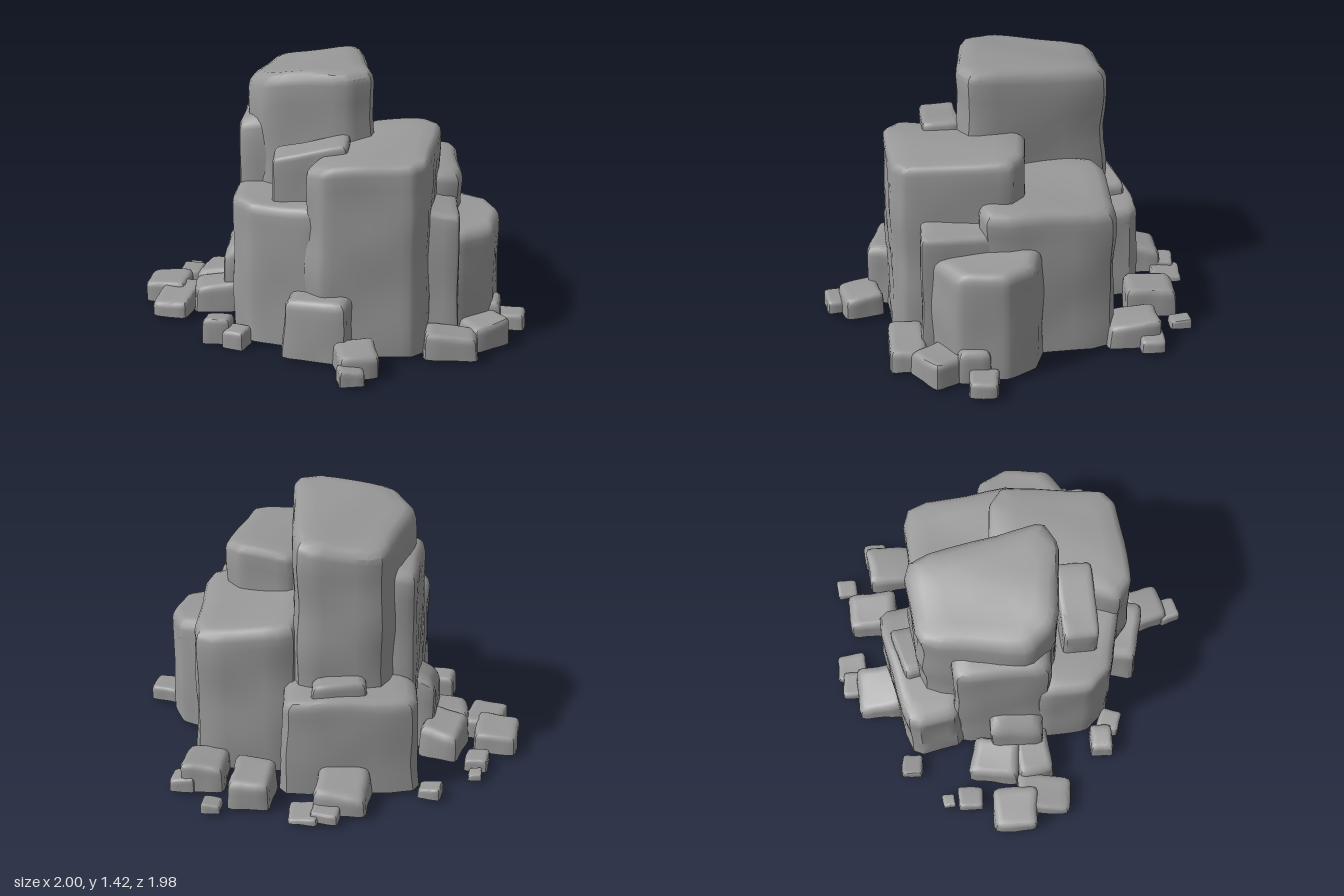
import * as THREE from 'three';
import { toCreasedNormals } from 'three/addons/utils/BufferGeometryUtils.js';

const stone = new THREE.MeshStandardMaterial({ color: 0x999999, side: THREE.DoubleSide });
stone.name = 'grey stone';

// Slightly irregular four-cornered footprint, turned by an angle from x towards z
function quad(x, z, width, depth, turn) {
  return [[-1, -1], [1, -1], [1, 1], [-1, 1]].map(([sx, sz], i) => {
    const k = 0.5 * (1 + 0.06 * Math.sin(i * 2.1 + x * 9));
    const u = sx * width * k, v = sz * depth * k;
    return [x + u * Math.cos(turn) - v * Math.sin(turn), z + u * Math.sin(turn) + v * Math.cos(turn)];
  });
}

// Plan of one block: rounded footprint about its centre, and its roof height
function planRock(name, corners, top, bevel, seed, { slopeX = 0, slopeZ = 0, base = 0.02, cut = 0.14 }) {
  const n = corners.length;
  const cx = corners.reduce((s, p) => s + p[0], 0) / n;
  const cz = corners.reduce((s, p) => s + p[1], 0) / n;
  const pts = corners.map(([x, z]) => new THREE.Vector2(x - cx, z - cz))
    .sort((a, b) => Math.atan2(a.y, a.x) - Math.atan2(b.y, b.x));
  const outline = [];
  pts.forEach((p, i) => {
    const prev = pts[(i + n - 1) % n], next = pts[(i + 1) % n];
    const curve = new THREE.QuadraticBezierCurve(p.clone().lerp(prev, cut), p, p.clone().lerp(next, cut));
    outline.push(...curve.getPoints(2), ...[0.32, 0.5, 0.68].map(t => p.clone().lerp(next, t)));
  });
  const roof = (x, z) => top + slopeX * x + slopeZ * z + 0.008 * Math.sin(9 * x + 7 * z + seed);
  return { name, cx, cz, outline, roof, top, bevel, seed, base };
}

// True when a point is well inside a block
function buried(rock, x, y, z) {
  const px = x - rock.cx, pz = z - rock.cz, o = rock.outline;
  if (y < rock.base - 0.03 || y > rock.roof(px, pz) - 0.03) return false;
  return o.every((a, i) => {
    const b = o[(i + 1) % o.length];
    return (b.x - a.x) * (pz - a.y) - (b.y - a.y) * (px - a.x) > 0.02 * a.distanceTo(b);
  });
}

// Weathered block raised in rings to a sloping, bevelled top, open underneath;
// faces buried in neighbouring blocks are left out
function rockGeometry(rock, others) {
  const { cx, cz, outline, roof, top, bevel, seed, base } = rock;
  const count = outline.length;
  const radius = outline.reduce((s, p) => s + p.length(), 0) / count;

  // Rings: [fraction of wall height, drop below the top, scale]
  const rings = [];
  const levels = top > 0.5 ? 14 : 5;
  for (let j = 0; j <= levels; j++) rings.push([j / levels, bevel, 1.02 - 0.03 * j / levels]);
  for (const a of [0.45, 0.95, 1.5]) {
    rings.push([1, bevel * (1 - Math.sin(a)), 0.99 - (bevel / radius) * (1 - Math.cos(a))]);
  }
  rings.push([1, 0, 0.6], [1, 0, 0.3]);

  const pos = [], index = [];
  const wobble = top > 0.5 ? 0.014 : 0.025;
  for (const [f, drop, scale] of rings) {
    for (const p of outline) {
      const th = Math.atan2(p.y, p.x);
      const x = p.x * scale, z = p.y * scale;
      const y = base + (roof(x, z) - drop - base) * f;
      const k = 1 + wobble * (Math.sin(2 * th + 11 * y + seed * 1.7) + 0.8 * Math.sin(5 * th - 17 * y + seed));
      pos.push(cx + x * k, y, cz + z * k);
    }
  }
  pos.push(cx, roof(0, 0), cz);

  const hides = others.map(o => (i => buried(o, pos[3 * i], pos[3 * i + 1], pos[3 * i + 2])));
  const face = (...tri) => {
    if (!hides.some(hidden => tri.every(hidden))) index.push(...tri);
  };
  for (let j = 0; j < rings.length - 1; j++) {
    for (let i = 0; i < count; i++) {
      const a = j * count + i, b = j * count + (i + 1) % count;
      face(a, a + count, b);
      face(b, a + count, b + count);
    }
  }
  const last = (rings.length - 1) * count;
  for (let i = 0; i < count; i++) face(last + i, last + count, last + (i + 1) % count);

  const g = new THREE.BufferGeometry();
  g.setAttribute('position', new THREE.Float32BufferAttribute(pos, 3));
  g.setIndex(index);
  return toCreasedNormals(g, 0.6);
}

export function createModel() {
  const rocks = [];
  const rock = (name, corners, top, bevel, options = {}) =>
    rocks.push(planRock(name, corners, top, bevel, rocks.length + 1, options));

  // Large blocks with their own outlines
  rock('summitBlock', [[-0.2, -0.59], [0.25, -0.52], [0.2, 0.22], [0.04, 0.26], [-0.36, 0.1], [-0.44, -0.08]],
    1.385, 0.07, { slopeX: 0.07, slopeZ: 0.11, cut: 0.18 });
  rock('frontBlock', [[-0.22, 0.5], [-0.14, 0.61], [0.3, 0.69], [0.39, 0.64], [0.57, 0.13], [0.5, 0.03], [0.22, -0.07]],
    1.07, 0.05, { slopeX: 0.08, slopeZ: -0.03, cut: 0.12 });
  rock('leftBlock', [[-0.56, 0.24], [-0.5, -0.04], [-0.15, 0.05], [-0.12, 0.56], [-0.48, 0.38]],
    0.79, 0.05, { slopeX: 0.04 });
  rock('rightFrontBlock', [[0.58, 0.2], [0.7, 0], [0.83, 0.08], [0.87, 0.25], [0.78, 0.48], [0.54, 0.57]],
    0.65, 0.06, { slopeZ: -0.05, cut: 0.12 });

  // Four-sided blocks, pillars and steps
  rock('rightBlock', quad(0.43, -0.1, 0.57, 0.7, 0.2), 0.86, 0.06, { slopeX: -0.08, slopeZ: 0.03, cut: 0.19 });
  rock('frontLeftPillar', quad(-0.16, 0.29, 0.4, 0.2, 0.22), 1.06, 0.03, { slopeX: 0.17, cut: 0.1 });
  rock('leftPillar', quad(-0.29, -0.18, 0.32, 0.52, 0.25), 1.15, 0.06, { slopeX: 0.1 });
  rock('backBlock', quad(-0.04, -0.55, 0.7, 0.33, 0.07), 0.56, 0.06, { cut: 0.2 });
  rock('backCapStone', quad(0.03, -0.59, 0.28, 0.13, 0), 0.63, 0.04, { base: 0.5 });
  rock('rightFrontShelf', quad(0.48, 0.38, 0.25, 0.4, 0.2), 0.76, 0.03, { slopeX: -0.18, cut: 0.08 });
  rock('leftStep', quad(-0.44, -0.15, 0.22, 0.28, 0.25), 0.45, 0.06, { slopeX: 0.6 });
  rock('frontStep', quad(-0.16, 0.57, 0.35, 0.22, 0.45), 0.35, 0.05);
  rock('backStep', quad(0.03, -0.79, 0.27, 0.25, 0.25), 0.16, 0.04, { slopeZ: 0.25 });

  // Fallen stones around the foot: x, z, width, depth, turn, height
  const scatter = (name, stones, base = 0.02) => stones.forEach(([x, z, w, d, turn, h], i) =>
    rock(name + (i + 1), quad(x, z, w, d, turn), h, h * 0.22,
      { base, slopeX: 0.1 * Math.sin(x * 20), slopeZ: 0.1 * Math.cos(z * 20) }));

  scatter('frontStone', [
    [0, 0.8, 0.21, 0.21, 0, 0.14],
    [-0.05, 0.92, 0.13, 0.12, 0, 0.09],
    [0.51, 0.68, 0.28, 0.19, 0.2, 0.15],
    [0.72, 0.57, 0.23, 0.2, -0.35, 0.16],
    [0.75, 0.4, 0.2, 0.17, 0.2, 0.2],
    [0.91, 0.39, 0.16, 0.15, 0.35, 0.1],
  ]);
  scatter('lowStone', [
    [-0.65, 0.29, 0.15, 0.12, 0.3, 0.13],
    [-0.56, 0.37, 0.12, 0.12, 0.6, 0.09],
  ], 0);
  scatter('leftStone', [
    [-0.87, -0.3, 0.23, 0.25, 0.3, 0.13],
    [-0.84, -0.12, 0.2, 0.3, 0.4, 0.12],
    [-0.57, -0.31, 0.21, 0.26, 0.45, 0.19],
    [-0.59, -0.1, 0.28, 0.19, 0.15, 0.18],
    [-0.72, -0.51, 0.12, 0.14, 0.3, 0.08],
    [-0.69, -0.63, 0.07, 0.07, 0.2, 0.05],
    [-0.43, -0.76, 0.12, 0.11, 0.35, 0.07],
  ]);
  scatter('backStone', [
    [0.13, -0.92, 0.14, 0.12, 0.3, 0.08],
    [0.24, -0.9, 0.15, 0.16, 0.2, 0.06],
    [0.48, -0.69, 0.22, 0.27, 0.25, 0.18],
    [0.7, -0.78, 0.1, 0.11, 0.2, 0.06],
    [0.72, -0.49, 0.22, 0.28, 0.2, 0.15],
    [0.84, -0.56, 0.13, 0.13, 0.2, 0.09],
  ]);

  const group = new THREE.Group();
  group.name = 'rockOutcrop';
  for (const plan of rocks) {
    const mesh = new THREE.Mesh(rockGeometry(plan, rocks.filter(r => r !== plan)), stone);
    mesh.name = plan.name;
    group.add(mesh);
  }
  return group;
}
